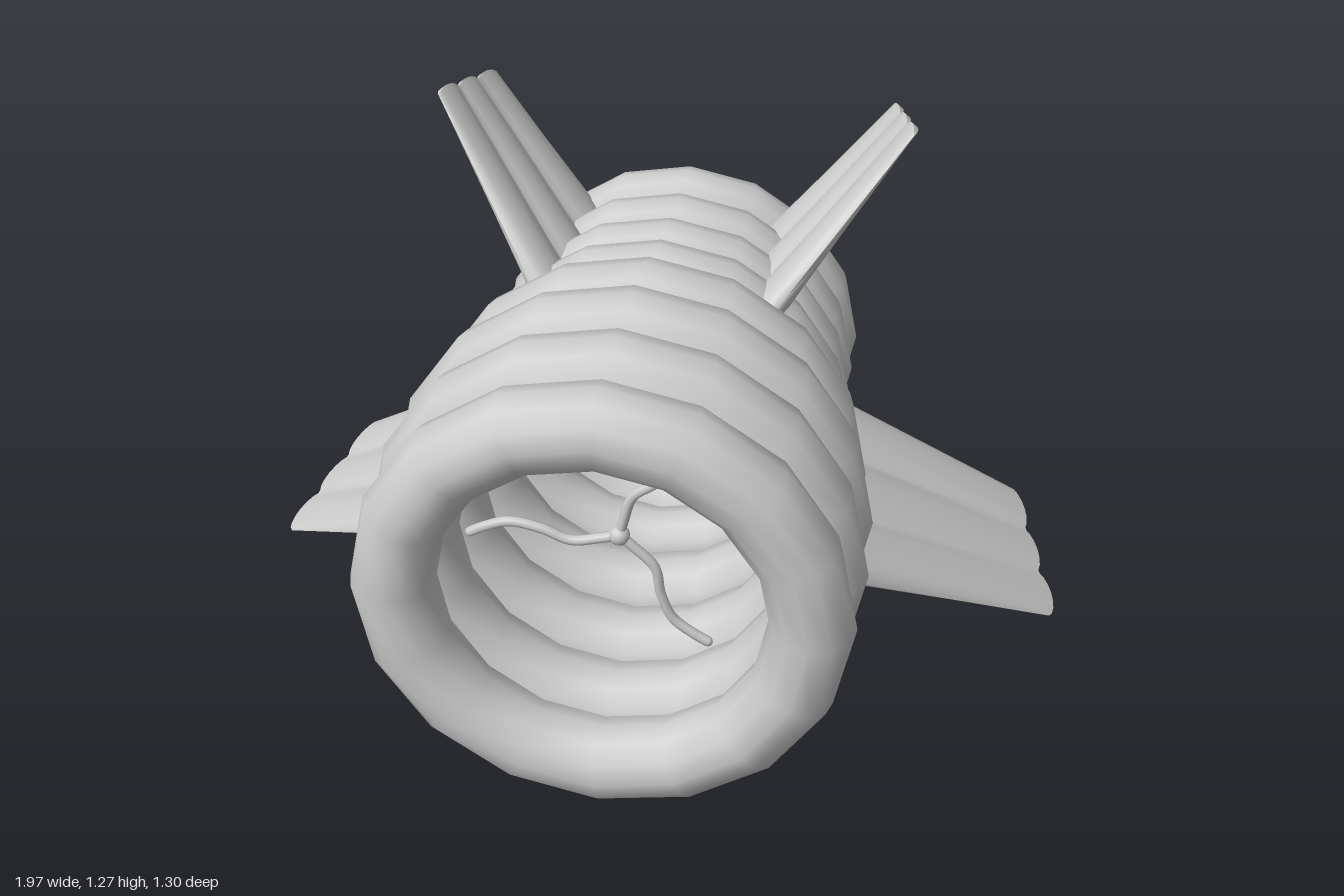
import * as THREE from 'three';
import { toCreasedNormals } from 'three/addons/utils/BufferGeometryUtils.js';

const AXIS_Y = 0.56;
const material = new THREE.MeshStandardMaterial({ color: 0xcccccc });

// Ribbed fin: three rounded lobes side by side, thinning from root to tip.
// Corners: root front, root back, tip front, tip back.
function finGeometry(corners, rootHalf, tipHalf) {
  const [A, B, C, D] = corners.map((p) => new THREE.Vector3(...p));
  // sink the root into the body
  const rootFront = A.clone().lerp(C, -0.08);
  const rootBack = B.clone().lerp(D, -0.08);
  const normal = B.clone().sub(A).cross(C.clone().sub(A)).normalize();
  const lobes = 3, steps = 8, M = lobes * steps, N = 2 * M, rows = 6;
  const positions = [], index = [];

  for (let j = 0; j <= rows; j++) {
    const v = j / rows;
    for (let i = 0; i < N; i++) {
      const k = i <= M ? i : N - i;
      const lobe = Math.floor(k / steps);
      // cosine spacing rounds each lobe evenly
      const a = (Math.PI * (k % steps)) / steps;
      const u = (lobe + (1 - Math.cos(a)) / 2) / lobes;
      const floor = k === 0 || k === M ? 0.1 : 0.4;
      const bulge = Math.max(Math.sin(a), floor);
      const half = THREE.MathUtils.lerp(rootHalf, tipHalf, v) * bulge;
      const span = v - 0.035 * (1 - bulge) * v;
      const p = rootFront.clone().lerp(rootBack, u)
        .lerp(C.clone().lerp(D, u), span)
        .addScaledVector(normal, i <= M ? half : -half);
      positions.push(p.x, p.y, p.z);
    }
  }
  for (let j = 0; j < rows; j++) {
    for (let i = 0; i < N; i++) {
      const a = j * N + i, b = j * N + ((i + 1) % N);
      index.push(a, b, b + N, a, b + N, a + N);
    }
  }
  // root and tip caps
  const top = rows * N;
  for (let i = 0; i < M; i++) {
    const c = N - i - 1, d = (N - i) % N;
    index.push(top + i, top + i + 1, top + c, top + i, top + c, top + d);
    index.push(i, c, i + 1, i, d, c);
  }
  const geometry = new THREE.BufferGeometry();
  geometry.setAttribute('position', new THREE.Float32BufferAttribute(positions, 3));
  geometry.setIndex(index);
  return toCreasedNormals(geometry, 0.8);
}

export function createModel() {
  const model = new THREE.Group();
  model.name = 'finnedRingTube';
  const add = (geometry, name, parent = model) => {
    const mesh = new THREE.Mesh(geometry, material);
    mesh.name = name;
    parent.add(mesh);
    return mesh;
  };

  // Hollow body: overlapping rings, front to back [z, ring radius, tube radius]
  const body = new THREE.Group();
  body.name = 'body';
  model.add(body);
  const rings = [
    [0.555, 0.46, 0.095], [0.37, 0.46, 0.1], [0.18, 0.45, 0.1], [0.0, 0.42, 0.095],
    [-0.165, 0.385, 0.08], [-0.3, 0.37, 0.076], [-0.435, 0.36, 0.076], [-0.578, 0.36, 0.072],
  ];
  rings.forEach(([z, radius, tube], i) => {
    add(new THREE.TorusGeometry(radius, tube, 12, 16), `bodyRing${i + 1}`, body)
      .position.set(0, AXIS_Y, z);
  });

  // Fins, built for the left and mirrored to the right
  const upperFin = finGeometry([
    [0.27, 0.91, -0.09], [0.255, 0.88, -0.585], [0.56, 1.27, -0.36], [0.49, 1.19, -0.64],
  ], 0.04, 0.008);
  const lowerFin = finGeometry([
    [0.47, 0.34, 0.12], [0.4, 0.38, -0.54], [0.996, 0.008, -0.24], [0.87, 0.09, -0.64],
  ], 0.045, 0.008);
  for (const [side, sign] of [['left', 1], ['right', -1]]) {
    const fins = new THREE.Group();
    fins.name = `${side}Fins`;
    fins.scale.x = sign;
    model.add(fins);
    add(upperFin, `${side}UpperFin`, fins);
    add(lowerFin, `${side}LowerFin`, fins);
  }

  // Three wavy arms meeting at a small hub inside the front opening
  const spider = new THREE.Group();
  spider.name = 'innerSpider';
  spider.position.set(0, AXIS_Y + 0.005, 0.33);
  model.add(spider);
  add(new THREE.SphereGeometry(0.024, 12, 8), 'hub', spider);
  const path = new THREE.CatmullRomCurve3([
    [0, 0], [0.01, 0.045], [0.03, 0.11], [0.085, 0.157], [0.13, 0.215], [0.14, 0.275], [0.14, 0.315],
  ].map(([x, y]) => new THREE.Vector3(x, y, 0)));
  const armGeometry = new THREE.TubeGeometry(path, 28, 0.012, 8);
  for (let i = 0; i < 3; i++) {
    const arm = add(armGeometry, `arm${i + 1}`, spider);
    arm.rotation.z = (i * Math.PI * 2) / 3;
    const tip = add(new THREE.SphereGeometry(0.012, 8, 6), `armTip${i + 1}`, arm);
    tip.position.set(0.14, 0.315, 0);
  }

  return model;
}
